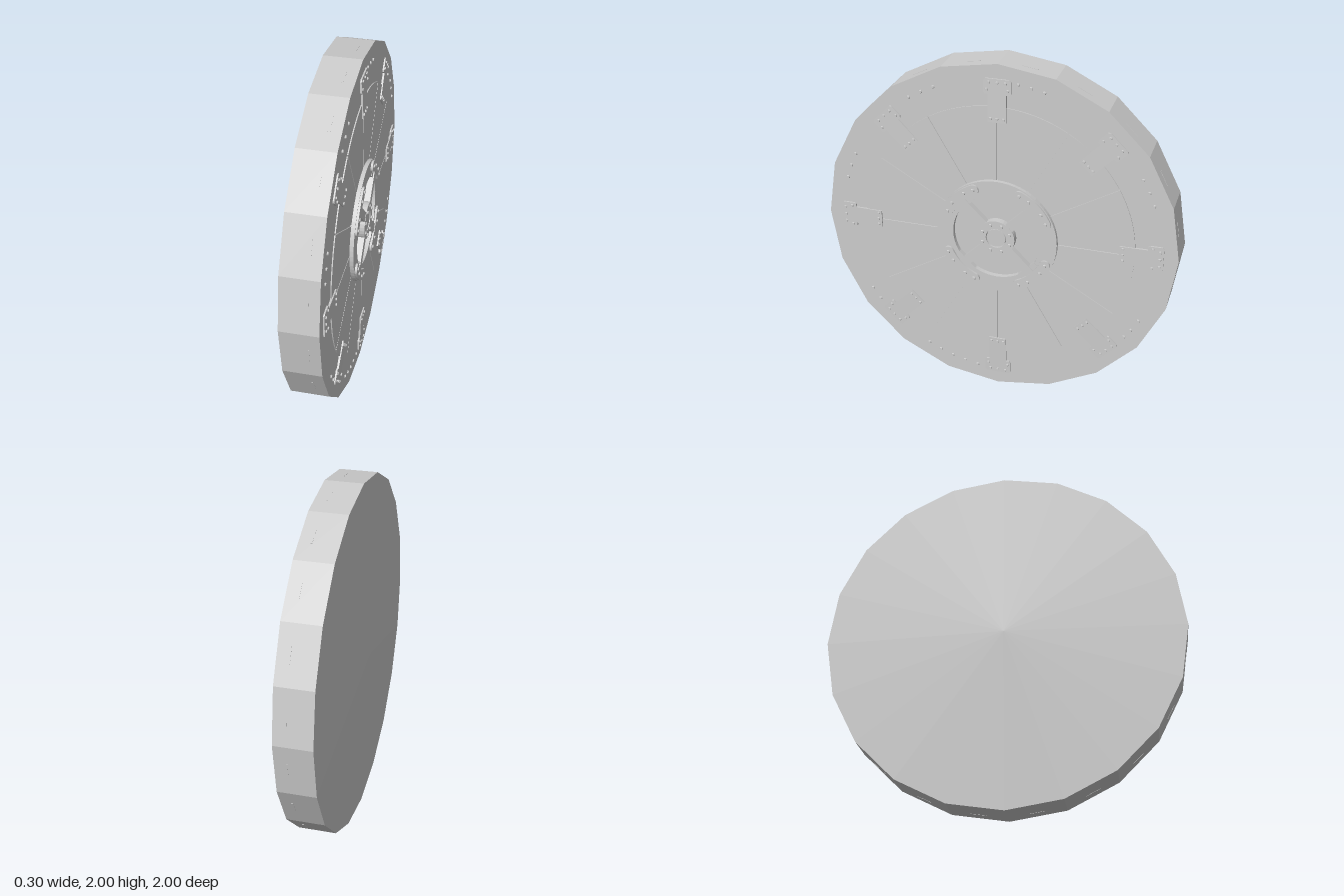
import * as THREE from 'three';

const material = new THREE.MeshStandardMaterial({ color: 0xcccccc, flatShading: true });
const smooth = new THREE.MeshStandardMaterial({ color: 0xcccccc });
const FACE = 0.1; // height of the front face along the axis
const rad = THREE.MathUtils.degToRad;

function add(parent, name, geometry, mat = material) {
  const mesh = new THREE.Mesh(geometry, mat);
  mesh.name = name;
  parent.add(mesh);
  return mesh;
}

// Flat plate between two heights on the axis
function plate(shape, z0, z1, curveSegments = 24) {
  const g = new THREE.ExtrudeGeometry(shape, { depth: z1 - z0, bevelEnabled: false, curveSegments });
  return g.translate(0, 0, z0);
}

// Piece of a ring between two radii and two angles
function sector(r0, r1, a0, a1) {
  const s = new THREE.Shape();
  s.absarc(0, 0, r1, a0, a1, false);
  s.absarc(0, 0, r0, a1, a0, true);
  return s;
}

function ring(r0, r1) {
  const s = new THREE.Shape().absarc(0, 0, r1, 0, Math.PI * 2, false);
  s.holes.push(new THREE.Path().absarc(0, 0, r0, 0, Math.PI * 2, true));
  return s;
}

function bolt(parent, x, y, z, r = 0.01, h = 0.008) {
  const g = new THREE.CylinderGeometry(r * 0.75, r, h, 8).rotateX(Math.PI / 2);
  add(parent, 'bolt', g).position.set(x, y, z + h / 2);
}

function boltPolar(parent, r, a, z, size) {
  bolt(parent, r * Math.cos(a), r * Math.sin(a), z, size);
}

export function createModel() {
  const model = new THREE.Group();
  model.name = 'roundDoor';
  // Built facing +z, then turned to face +x
  const door = new THREE.Group();
  door.name = 'door';
  door.rotation.y = Math.PI / 2;
  door.position.y = 1;
  model.add(door);

  // Twenty-sided body with a shallow cone behind
  const profile = [[0, -0.153], [1, -0.11], [1, FACE], [0, FACE]].map(p => new THREE.Vector2(...p));
  add(door, 'body', new THREE.LatheGeometry(profile, 20).rotateX(Math.PI / 2));

  // Narrow slots' edges on the rim facets
  for (let i = 0; i < 20; i++) {
    const a = rad(9 + i * 18), r = Math.cos(rad(9));
    const slot = add(door, 'rimMark', new THREE.BoxGeometry(0.003, 0.09, 0.012));
    slot.position.set(r * Math.cos(a), r * Math.sin(a), 0.035);
    slot.rotation.z = a;
  }

  // Twelve raised wedge panels with narrow gaps
  for (let i = 0; i < 12; i++) {
    const a = rad(i * 30), gap = 0.004;
    const g = plate(sector(0.335, 0.766, a + gap / 0.335, a + rad(30) - gap / 0.335), FACE - 0.01, FACE + 0.006, 10);
    // Keep the gap the same width along its length
    const p = g.attributes.position;
    const mid = a + rad(15), half = rad(15);
    for (let k = 0; k < p.count; k++) {
      const r = Math.hypot(p.getX(k), p.getY(k));
      let d = Math.atan2(p.getY(k), p.getX(k)) - mid;
      d = Math.atan2(Math.sin(d), Math.cos(d));
      const t = d / (half - gap / 0.335) * (half - gap / r);
      p.setXY(k, r * Math.cos(mid + t), r * Math.sin(mid + t));
    }
    g.computeVertexNormals();
    add(door, 'wedgePanel', g);
  }

  // Eight rim brackets, T-shaped and leaning outward
  for (let i = 0; i < 8; i++) {
    const bracket = new THREE.Group();
    bracket.name = 'rimBracket';
    bracket.rotation.z = rad(i * 45);
    door.add(bracket);
    const outline = [[0.68, -0.05], [0.835, -0.05], [0.835, -0.068], [0.845, -0.075], [0.91, -0.075], [0.92, -0.065],
      [0.92, 0.065], [0.91, 0.075], [0.845, 0.075], [0.835, 0.068], [0.835, 0.05], [0.68, 0.05]];
    const g = plate(new THREE.Shape(outline.map(p => new THREE.Vector2(...p))), FACE, FACE + 0.014);
    const top = x => FACE + 0.014 - (x - 0.68) * 0.025;
    const p = g.attributes.position;
    for (let k = 0; k < p.count; k++) if (p.getZ(k) > FACE + 0.01) p.setZ(k, top(p.getX(k)));
    g.computeVertexNormals();
    add(bracket, 'bracketPlate', g);
    for (const [x, y] of [[0.7, -0.035], [0.7, 0], [0.7, 0.035], [0.9, -0.045], [0.9, 0], [0.9, 0.045],
      [0.86, -0.058], [0.86, 0.058]]) bolt(bracket, x, y, top(x) - 0.001, 0.009);
  }

  // Loose rim bolts between the brackets
  for (const a of [20, 25, 30, 74, 78.5, 83, 113, 118, 123, 155, 160, 165, 212, 217, 242, 247, 252, 257, 262, 324, 328, 333])
    boltPolar(door, 0.905, rad(a), FACE, 0.01);

  // Hub ring
  add(door, 'hubRing', plate(ring(0.25, 0.342), FACE - 0.01, 0.128, 32), smooth);

  // Four spokes, each held by a curved clamp
  for (let i = 0; i < 4; i++) {
    const spoke = new THREE.Group();
    spoke.name = 'hubSpoke';
    spoke.rotation.z = rad(45 + i * 90);
    door.add(spoke);
    add(spoke, 'spokeArm', new THREE.BoxGeometry(0.23, 0.052, 0.035)).position.set(0.185, 0, 0.119);
    add(spoke, 'spokeFoot', new THREE.BoxGeometry(0.045, 0.13, 0.03)).position.set(0.262, 0, 0.115);
    add(spoke, 'clamp', plate(sector(0.275, 0.336, rad(-20), rad(20)), 0.125, 0.14, 10));
    for (const side of [-1, 1]) {
      const a = rad(20 * side);
      const end = add(spoke, 'clampEnd', new THREE.CylinderGeometry(0.0305, 0.0305, 0.015, 16).rotateX(Math.PI / 2), smooth);
      end.position.set(0.3055 * Math.cos(a), 0.3055 * Math.sin(a), 0.1325);
      boltPolar(spoke, 0.306, a, 0.139, 0.011);
      boltPolar(spoke, 0.31, a * 0.45, 0.139, 0.011);
    }
  }

  // Central boss with its collar, cap and bolts
  add(door, 'bossCollar', plate(ring(0.058, 0.106), FACE - 0.01, 0.139, 16), smooth);
  add(door, 'bossCap', new THREE.CylinderGeometry(0.054, 0.058, 0.044, 24).rotateX(Math.PI / 2), smooth).position.z = 0.113;
  for (let i = 0; i < 8; i++) boltPolar(door, 0.083, rad(22.5 + i * 45), 0.138, 0.011);

  return model;
}
